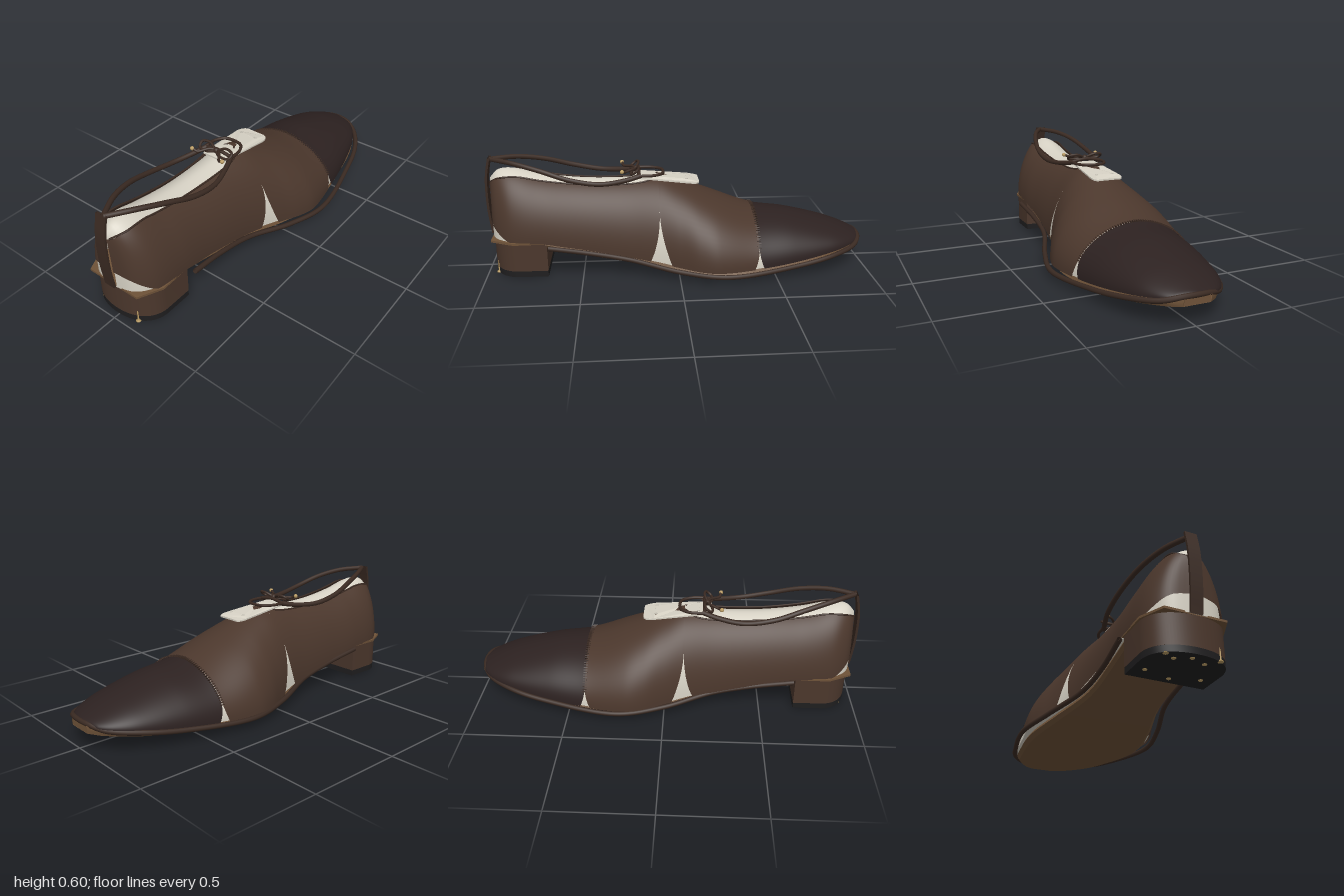
import * as THREE from 'three';
import { toCreasedNormals } from 'three/addons/utils/BufferGeometryUtils.js';

const CX = -0.012; // the shoe sits slightly off the centre line

// Smooth interpolation through [z, value] pairs
function curve(pts) {
  const slope = (i) => {
    const a = pts[Math.max(0, i - 1)], b = pts[Math.min(pts.length - 1, i + 1)];
    return (b[1] - a[1]) / (b[0] - a[0]);
  };
  return (z) => {
    if (z <= pts[0][0]) return pts[0][1];
    for (let i = 0; i < pts.length - 1; i++) {
      const [z0, v0] = pts[i], [z1, v1] = pts[i + 1];
      if (z > z1) continue;
      const d = z1 - z0, t = (z - z0) / d, t2 = t * t, t3 = t2 * t;
      return v0 * (2 * t3 - 3 * t2 + 1) + slope(i) * d * (t3 - 2 * t2 + t)
        + v1 * (3 * t2 - 2 * t3) + slope(i + 1) * d * (t3 - t2);
    }
    return pts[pts.length - 1][1];
  };
}

// Half width, top height and base height of the upper along its length
const width = curve([[-0.99, 0.05], [-0.97, 0.11], [-0.9, 0.175], [-0.8, 0.225], [-0.6, 0.28], [-0.4, 0.315], [-0.2, 0.343],
  [-0.1, 0.325], [0, 0.285], [0.1, 0.25], [0.25, 0.22], [0.5, 0.2], [0.7, 0.2], [0.85, 0.19], [0.92, 0.155], [0.96, 0.1], [0.975, 0.02]]);
const top = curve([[-0.99, 0.15], [-0.9, 0.19], [-0.8, 0.225], [-0.6, 0.275], [-0.4, 0.305], [-0.2, 0.38], [0, 0.46],
  [0.1, 0.487], [0.3, 0.48], [0.5, 0.485], [0.7, 0.51], [0.85, 0.545], [0.93, 0.54], [0.975, 0.495]]);
const base = curve([[-0.99, 0.13], [-0.8, 0.105], [-0.6, 0.08], [-0.4, 0.062], [-0.2, 0.058], [0, 0.07],
  [0.2, 0.1], [0.4, 0.135], [0.6, 0.17], [0.7, 0.188], [0.975, 0.19]]);
// Half angle of the foot opening, and the raised hem at the back
const opening = curve([[0.09, 0.05], [0.14, 0.28], [0.2, 0.36], [0.5, 0.4], [0.8, 0.43], [0.93, 0.5], [0.975, 0.45]]);
const hem = curve([[0.8, 0], [0.87, 0.02], [0.93, 0.14], [0.975, 0.3]]);

// Point on the upper: angle 0 is the +x hem, PI / 2 the ridge
function upper(z, a, off = 0) {
  const c = Math.cos(a), w = Math.max(0.004, width(z) + off);
  return new THREE.Vector3(CX + Math.sign(c) * w * Math.abs(c) ** 1.1,
    base(z) + (top(z) - base(z) + off) * Math.sin(a), z);
}

// Grid surface from a rule f(u, v)
function patch(nu, nv, f) {
  const pos = [], index = [];
  for (let i = 0; i <= nu; i++) for (let j = 0; j <= nv; j++) pos.push(...f(i / nu, j / nv).toArray());
  for (let i = 0; i < nu; i++) for (let j = 0; j < nv; j++) {
    const a = i * (nv + 1) + j, b = a + nv + 1;
    index.push(a, a + 1, b, b, a + 1, b + 1);
  }
  const g = new THREE.BufferGeometry();
  g.setAttribute('position', new THREE.Float32BufferAttribute(pos, 3));
  g.setIndex(index);
  g.computeVertexNormals();
  return g;
}

const V = (x, y, z) => new THREE.Vector3(x, y, z);
const lerp = THREE.MathUtils.lerp;
const ease = (u) => (1 - Math.cos(Math.PI * u)) / 2;
const mat = (color) => new THREE.MeshStandardMaterial({ color, side: THREE.DoubleSide });

export function createModel() {
  const g = new THREE.Group();
  g.name = 'laceUpShoe';
  const leather = mat(0x4b372c), dark = mat(0x2c2120), cordMat = mat(0x3a2a22), cream = mat(0xd6d1c4);
  const tan = mat(0x6e5238), black = mat(0x1f1e1f), brass = mat(0xb89a62);
  const add = (name, geo, m) => {
    const mesh = new THREE.Mesh(geo, m);
    mesh.name = name;
    g.add(mesh);
    return mesh;
  };
  const tube = (name, pts, r, m, n = 80) =>
    add(name, new THREE.TubeGeometry(new THREE.CatmullRomCurve3(pts), n, r, 8), m);

  // Closed inner lining with a flat bottom
  add('lining', patch(70, 32, (u, v) => upper(lerp(-0.98, 0.972, ease(u)), v * Math.PI, -0.008)), cream);
  add('insole', patch(60, 2, (u, v) => {
    const z = lerp(-0.98, 0.972, ease(u));
    return V(CX + (v * 2 - 1) * Math.max(0.004, width(z) - 0.008), base(z), z);
  }), cream);

  // Toe cap, vamp and two quarters, with flared slits where they meet near the sole
  const flare = (s, reach, size) => size * Math.max(0, 1 - s / reach) ** 2;
  const side = (v) => 2 * Math.min(v, 1 - v);
  add('toeCap', patch(44, 40, (u, v) =>
    upper(lerp(-0.99, -0.405 - flare(side(v), 0.3, 0.025), ease(u)), v * Math.PI, 0.001)), dark);
  add('vamp', patch(40, 40, (u, v) => {
    const s = side(v);
    return upper(lerp(-0.405 + flare(s, 0.3, 0.025), 0.1 - flare(s, 0.45, 0.06), u), v * Math.PI, 0.004);
  }), leather);
  for (const s of [1, -1]) {
    add(s > 0 ? 'leftQuarter' : 'rightQuarter', patch(60, 22, (u, v) => {
      const z = lerp(0.1 + flare(v, 0.45, 0.05), 0.975, ease(u));
      const a = lerp(hem(z), Math.PI / 2 - opening(z), v);
      return upper(z, s > 0 ? a : Math.PI - a, 0.004);
    }), leather);
    // Piping along the foot opening
    const edge = [];
    for (let i = 0; i <= 16; i++) {
      const z = lerp(0.1, 0.97, i / 16), a = Math.PI / 2 - opening(z);
      edge.push(upper(z, s > 0 ? a : Math.PI - a, 0.004));
    }
    tube('openingPiping', edge, 0.005, cordMat);
  }

  // Stitches across the toe cap seam
  const stitch = new THREE.BoxGeometry(0.004, 0.008, 0.02);
  for (let i = 1; i < 56; i++) {
    const a = lerp(0.3, Math.PI - 0.3, i / 56);
    const m = add('capStitch', stitch, cordMat);
    m.position.copy(upper(-0.405, a, 0.004));
    m.rotation.z = a - Math.PI / 2;
  }

  // Outsole
  const soleW = curve([[-0.995, 0.07], [-0.95, 0.13], [-0.8, 0.22], [-0.6, 0.27], [-0.25, 0.315], [0, 0.27], [0.25, 0.2], [0.5, 0.19], [0.69, 0.19]]);
  const soleY = curve([[-0.995, 0.095], [-0.8, 0.07], [-0.6, 0.045], [-0.25, 0.017], [0, 0.032], [0.2, 0.062], [0.4, 0.095], [0.6, 0.142], [0.69, 0.162]]);
  const ring = [[-0.93, 0], [-1, 0.018], [-0.97, 0.036], [0.97, 0.036], [1, 0.018], [0.93, 0], [-0.93, 0]];
  add('outsole', toCreasedNormals(patch(48, 6, (u, v) => {
    const z = lerp(-0.995, 0.69, u), [kx, ky] = ring[Math.round(v * 6)];
    return V(CX / 2 + kx * soleW(z), soleY(z) + ky, z);
  }), 0.5), tan);
  add('outsoleToe', new THREE.BoxGeometry(0.13, 0.034, 0.004).translate(CX / 2, 0.113, -0.993), tan);

  // Welt running around the upper from heel to heel
  const weltW = [[0.67, 0.222], [0.45, 0.21], [0.25, 0.225], [0, 0.31], [-0.24, 0.362], [-0.6, 0.3], [-0.8, 0.24], [-0.94, 0.145]];
  const weltSide = (s) => weltW.map(([z, w]) => V(s * w, base(z) - 0.008, z));
  tube('welt', [...weltSide(-1), V(-0.06, 0.135, -0.985), V(0.06, 0.135, -0.985), ...weltSide(1).reverse()], 0.013, cordMat, 160);

  // Heel block, top piece and seat
  const heelShape = (k) => {
    const s = new THREE.Shape();
    s.moveTo(-0.195 * k, 0.68);
    s.lineTo(0.195 * k, 0.68);
    s.lineTo(0.195 * k, 0.83);
    s.bezierCurveTo(0.19 * k, 0.92, 0.11 * k, 0.968, 0, 0.968);
    s.bezierCurveTo(-0.11 * k, 0.968, -0.19 * k, 0.92, -0.195 * k, 0.83);
    return s;
  };
  const slab = (name, shape, y0, y1, m) => {
    const geo = new THREE.ExtrudeGeometry(shape, { depth: y1 - y0, bevelEnabled: false, curveSegments: 20 });
    add(name, toCreasedNormals(geo.rotateX(Math.PI / 2).translate(CX, y1, 0), 0.6), m);
  };
  slab('heelBlock', heelShape(1), 0.036, 0.185, leather);
  slab('heelTopPiece', heelShape(0.995), 0.004, 0.036, black);
  const seat = new THREE.Shape([[-0.2, 0.67], [0.2, 0.67], [0.205, 0.85], [0.15, 0.968], [-0.15, 0.968], [-0.205, 0.85]].map((p) => new THREE.Vector2(...p)));
  slab('heelSeat', seat, 0.185, 0.196, tan);

  // Heel nails and studs
  for (const [x, z, h] of [[-0.14, 0.925, 0.08], [0.105, 0.945, 0.07]]) {
    const profile = [[0, 0], [0.013, 0.001], [0.012, 0.006], [0.004, 0.013], [0.003, h - 0.01], [0, h]];
    add('heelNail', new THREE.LatheGeometry(profile.map((p) => new THREE.Vector2(...p)), 12), brass).position.set(x, 0.002, z);
  }
  for (const [x, z] of [[-0.09, 0.9], [-0.02, 0.93], [0.055, 0.9], [-0.15, 0.76], [0.12, 0.76], [-0.015, 0.72]])
    add('heelStud', new THREE.CylinderGeometry(0.012, 0.009, 0.005, 12), brass).position.set(x, 0.0025, z);

  // Upright strap behind the heel
  const strapZ = curve([[0.19, 0.978], [0.3, 0.99], [0.4, 0.993], [0.5, 0.988], [0.6, 0.968]]);
  const strapRing = [[-0.03, -0.006], [-0.03, 0.006], [0.03, 0.006], [0.03, -0.006], [-0.03, -0.006]];
  add('backStrap', toCreasedNormals(patch(20, 4, (u, v) => {
    const y = lerp(0.188, 0.597, u), [x, d] = strapRing[Math.round(v * 4)];
    return V(CX - 0.006 + x, y, strapZ(y) + d);
  }), 0.6), cordMat);

  // Tongue with punched eyelets, curving along the instep
  const ts = new THREE.Shape();
  ts.moveTo(-0.065, 0.24);
  ts.lineTo(-0.085, -0.06);
  ts.quadraticCurveTo(-0.082, -0.115, -0.05, -0.115);
  ts.lineTo(0.05, -0.115);
  ts.quadraticCurveTo(0.082, -0.115, 0.085, -0.06);
  ts.lineTo(0.065, 0.24);
  for (const x of [-0.045, 0.045]) for (const z of [-0.05, 0.17])
    ts.holes.push(new THREE.Path().absarc(x, z, 0.008, 0, Math.PI * 2, true));
  const tongue = new THREE.ExtrudeGeometry(ts, { depth: 0.008, bevelEnabled: false }).rotateX(Math.PI / 2);
  const tp = tongue.attributes.position;
  for (let i = 0; i < tp.count; i++) {
    const z = tp.getZ(i);
    tp.setXYZ(i, tp.getX(i) + CX, tp.getY(i) + 0.483 + 0.13 * z - 0.25 * z * z - 1.2 * tp.getX(i) ** 2, z);
  }
  tongue.computeVertexNormals();
  add('tongue', tongue, cream);

  // Long cords from the back strap to the bow, and the tied laces
  for (const s of [1, -1]) {
    const P = (x, y, z) => V(CX + s * x, y, z);
    tube('sideCord', [P(0, 0.588, 0.965), P(0.07, 0.58, 0.84), P(0.12, 0.552, 0.7), P(0.148, 0.508, 0.55),
      P(0.142, 0.482, 0.4), P(0.105, 0.488, 0.27), P(0.075, 0.503, 0.19)], 0.013, cordMat);
    tube('bowLoop', [P(0, 0.518, 0.22), P(0.05, 0.54, 0.2), P(0.095, 0.535, 0.21), P(0.09, 0.515, 0.235), P(0.04, 0.512, 0.24), P(0, 0.518, 0.22)], 0.007, cordMat, 40);
    tube('laceEnd', [P(-0.02, 0.515, 0.2), P(0.03, 0.525, 0.23), P(0.07, 0.52, 0.28), P(0.092, 0.53, 0.285)], 0.007, cordMat, 30);
    add('laceTip', new THREE.SphereGeometry(0.011, 12, 8), brass).position.copy(P(0.096, 0.531, 0.287));
  }
  tube('tongueLace', [V(CX - 0.085, 0.503, 0.2), V(CX - 0.08, 0.503, 0.13), V(CX - 0.045, 0.503, 0.08),
    V(CX + 0.045, 0.503, 0.08), V(CX + 0.08, 0.503, 0.13), V(CX + 0.085, 0.503, 0.2)], 0.008, cordMat);
  tube('crossLace', [V(CX - 0.085, 0.503, 0.2), V(CX, 0.515, 0.2), V(CX + 0.085, 0.503, 0.2)], 0.009, cordMat, 20);
  add('bowKnot', new THREE.SphereGeometry(0.016, 14, 10), cordMat).position.set(CX, 0.52, 0.215);

  return g;
}
